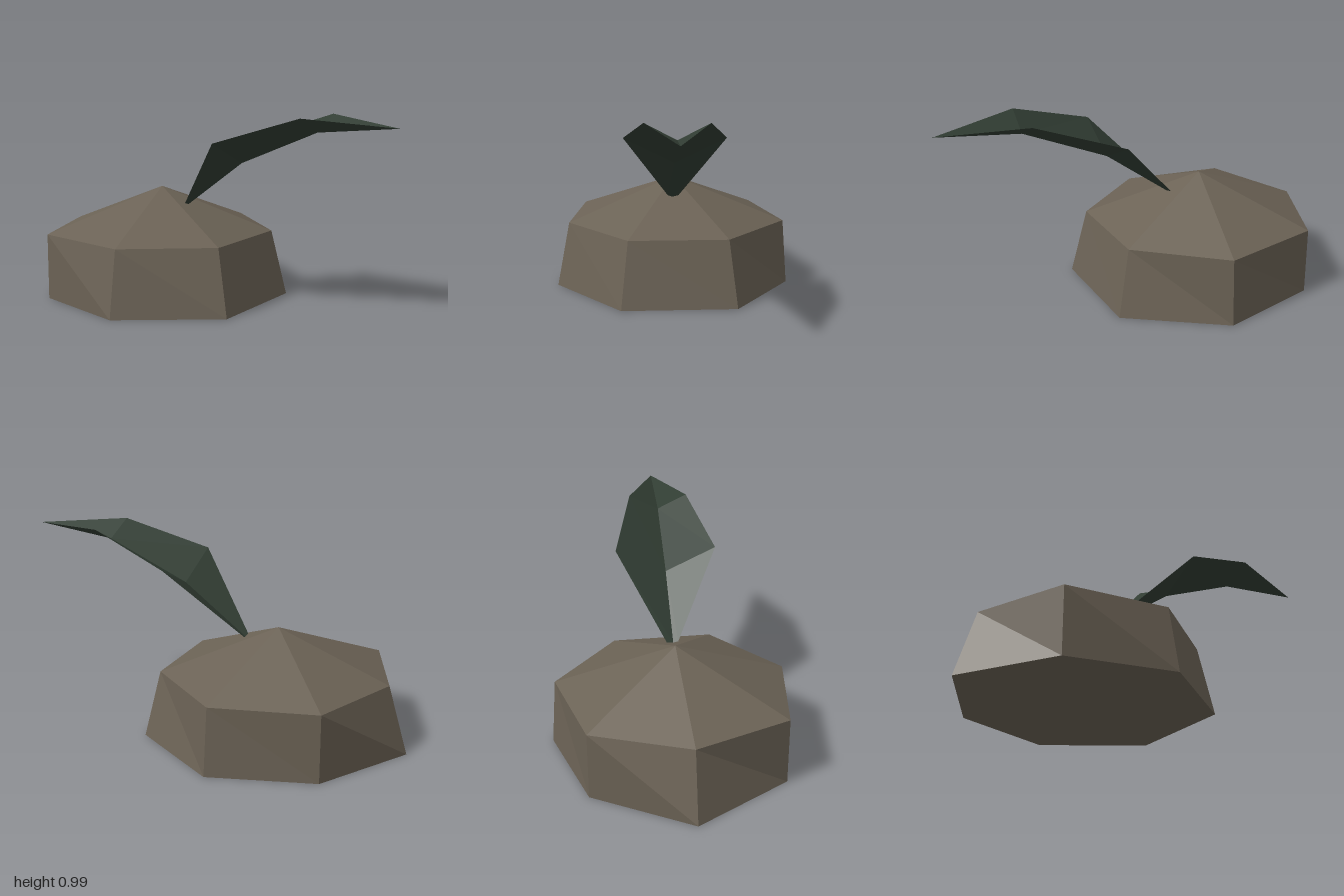
import * as THREE from 'three';

// Faceted surface from triangles of [x, y, z] points
function facetMesh(name, triangles, material) {
  const geometry = new THREE.BufferGeometry();
  geometry.setAttribute('position', new THREE.Float32BufferAttribute(triangles.flat(2), 3));
  geometry.computeVertexNormals();
  const mesh = new THREE.Mesh(geometry, material);
  mesh.name = name;
  return mesh;
}

export function createModel() {
  const group = new THREE.Group();
  group.name = 'sproutingMound';
  const earth = new THREE.MeshStandardMaterial({ color: 0x6b6255, flatShading: true });
  earth.name = 'earth brown';
  const green = new THREE.MeshStandardMaterial({ color: 0x313d33, flatShading: true, side: THREE.DoubleSide });
  green.name = 'dark green';

  // Mound: uneven seven-sided rings, given as [x, z]
  const foot = [[0.6, -0.35], [0.395, 0.17], [-0.175, 0.3], [-0.6, -0.08],
    [-0.575, -0.62], [-0.175, -1], [0.345, -0.82]].map(([x, z]) => [x, 0, z]);
  const rim = [[0.575, -0.35], [0.34, 0.11], [-0.155, 0.22], [-0.54, -0.105],
    [-0.575, -0.62], [-0.155, -0.9], [0.345, -0.82]].map(([x, z]) => [x, 0.34, z]);
  const peak = [-0.02, 0.565, -0.35];
  const centre = [-0.02, 0, -0.35];
  const sides = [], cap = [], base = [];
  for (let i = 0; i < 7; i++) {
    const j = (i + 1) % 7;
    sides.push([foot[i], rim[i], rim[j]], [foot[i], rim[j], foot[j]]);
    cap.push([rim[j], rim[i], peak]);
    base.push([centre, foot[i], foot[j]]);
  }
  group.add(facetMesh('moundSides', sides, earth));
  group.add(facetMesh('moundCap', cap, earth));
  group.add(facetMesh('moundBase', base, earth));

  // Leaf: rows of left edge, midrib and right edge, closing at the tip
  const rows = [
    [[-0.02, 0.495, -0.17], [0.005, 0.487, -0.17], [0.035, 0.493, -0.185]],
    [[-0.18, 0.853, 0.2], [0.07, 0.73, 0.155], [0.32, 0.853, 0.105]],
    [[0, 0.99, 0.6], [0.15, 0.912, 0.58], [0.3, 0.99, 0.55]],
  ];
  const tip = [0.23, 0.957, 1];
  const blade = [];
  for (let side = 0; side < 2; side++) {
    for (let r = 0; r < 2; r++) {
      const [a, b] = [rows[r][side], rows[r][side + 1]];
      const [c, d] = [rows[r + 1][side], rows[r + 1][side + 1]];
      blade.push([a, c, d], [a, d, b]);
    }
    blade.push([rows[2][side], tip, rows[2][side + 1]]);
  }
  group.add(facetMesh('leaf', blade, green));
  return group;
}
